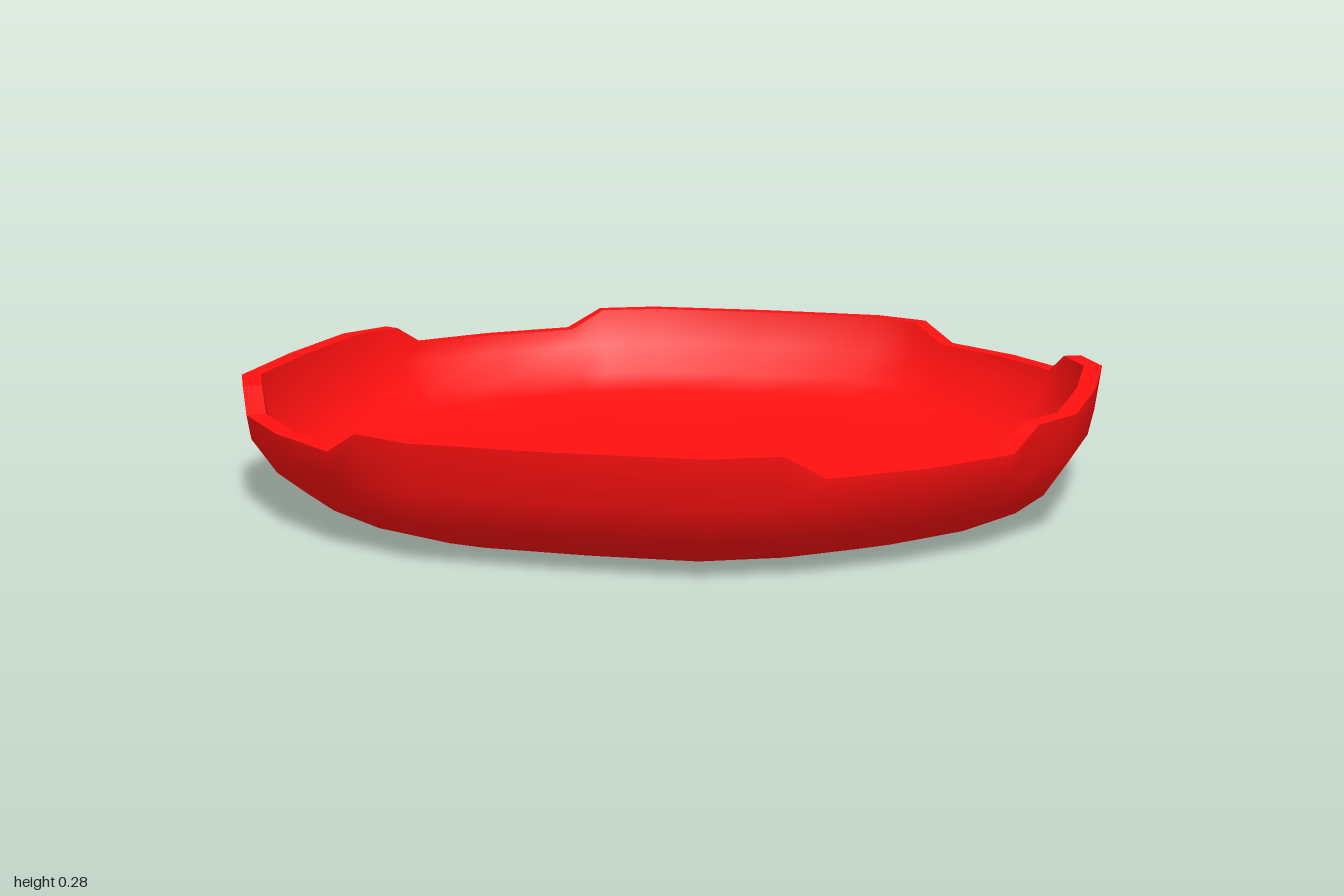
import * as THREE from 'three';

// Half a quarter of the outline [x, z]; mirrored on the diagonal, then turned four times
const half = [[0, 1], [0.32, 0.987], [0.46, 0.922], [0.545, 0.883], [0.73, 0.73]];
const quarter = [...half, ...half.slice(1, 4).reverse().map(([x, z]) => [z, x])];
const outline = [];
for (let q = 0; q < 4; q++) {
  for (const [x, z] of quarter) {
    outline.push([[x, z], [z, -x], [-x, -z], [-z, x]][q]);
  }
}
const N = outline.length;
const RIM = 0.276, NOTCH = 0.225;

// The rim dips between the notch corners on each diagonal
const rimHeight = (i) => (i % 8 >= 3 && i % 8 <= 5 ? NOTCH : RIM);

// Ring of the outline at a scale; y = null follows the notched rim
function ring(scale, y) {
  return outline.map(([x, z], i) => {
    const top = rimHeight(i);
    const s = y === null && top === NOTCH ? scale - 0.006 : scale;
    return [x * s, y === null ? top : y, z * s];
  });
}

// Join successive rings into a surface
function loft(rings, flat) {
  const index = [];
  for (let r = 0; r < rings.length - 1; r++) {
    for (let i = 0; i < N; i++) {
      const a = r * N + i, b = r * N + (i + 1) % N;
      index.push(a, b, b + N, a, b + N, a + N);
    }
  }
  let geo = new THREE.BufferGeometry();
  geo.setAttribute('position', new THREE.Float32BufferAttribute(rings.flat(2), 3));
  geo.setIndex(index);
  if (flat) geo = geo.toNonIndexed();
  geo.computeVertexNormals();
  return geo;
}

export function createModel() {
  const group = new THREE.Group();
  group.name = 'dish';
  const material = new THREE.MeshStandardMaterial({ color: 0xff1010 });
  const add = (name, rings, flat) => {
    const mesh = new THREE.Mesh(loft(rings, flat), material);
    mesh.name = name;
    group.add(mesh);
  };

  const foot = ring(0.75, 0);
  const outerEdge = ring(1, null);
  const innerEdge = ring(0.957, null);

  add('base', [ring(0.001, 0), foot], true);
  add('outerWall', [foot, ring(0.865, 0.035), ring(0.93, 0.085), ring(0.985, 0.168), outerEdge]);
  add('notchedRim', [outerEdge, innerEdge], true);
  // Bowl wall and floor share smooth normals
  add('innerBowl', [innerEdge, ring(0.94, 0.18), ring(0.89, 0.11), ring(0.83, 0.068),
    ring(0.73, 0.042), ring(0.001, 0.042)]);
  return group;
}
